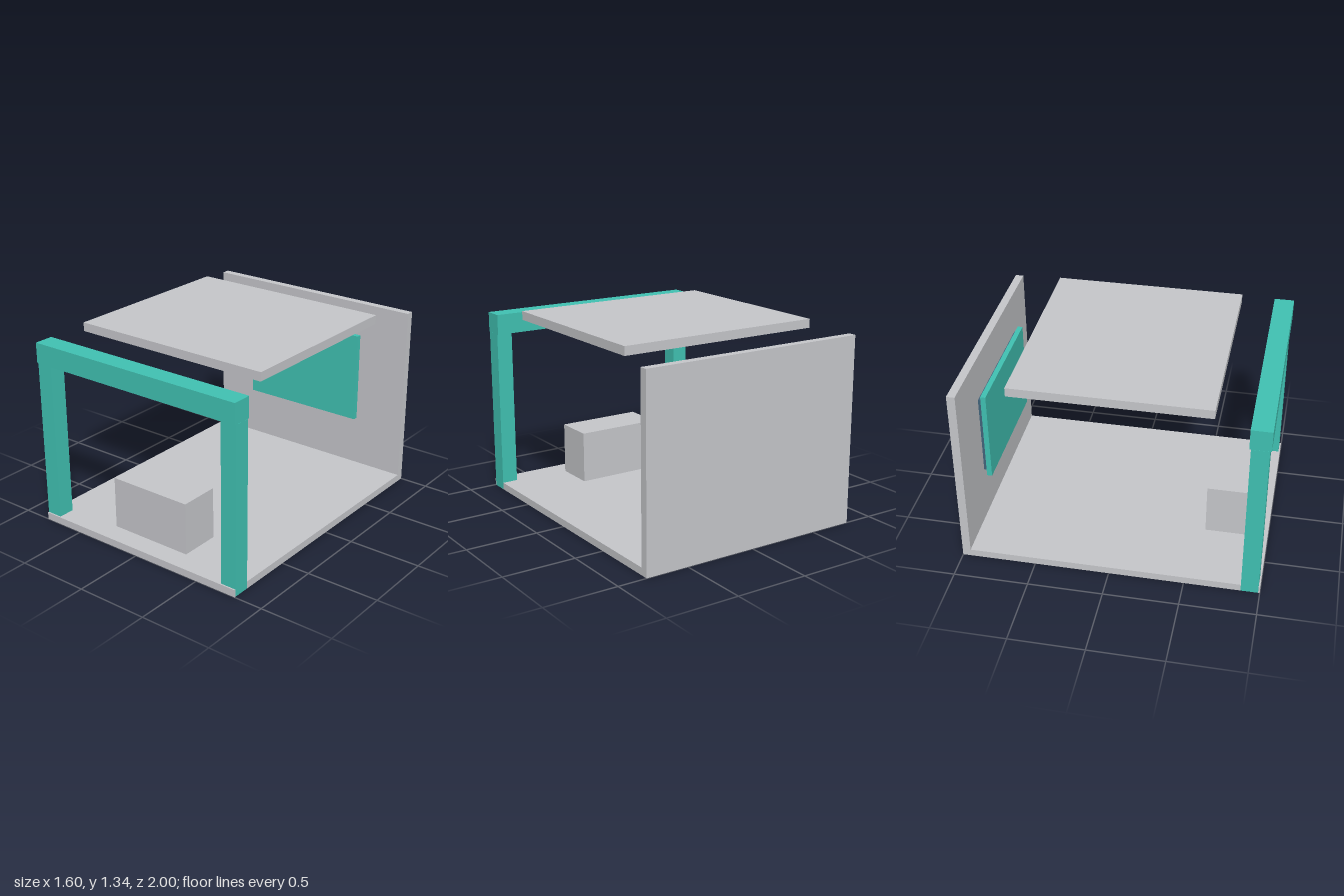
import * as THREE from 'three';

export function createModel() {
  const model = new THREE.Group();
  model.name = 'booth';

  const material = (name, color) => {
    const m = new THREE.MeshStandardMaterial({ color });
    m.name = name;
    return m;
  };
  const grey = material('light grey', 0xc5c6ca);
  const teal = material('teal', 0x40c1b2);
  const slate = material('slate blue', 0x41637a);

  // Box given by its extents on each axis
  const block = (name, mat, [x0, x1], [y0, y1], [z0, z1]) => {
    const mesh = new THREE.Mesh(new THREE.BoxGeometry(x1 - x0, y1 - y0, z1 - z0), mat);
    mesh.position.set((x0 + x1) / 2, (y0 + y1) / 2, (z0 + z1) / 2);
    mesh.name = name;
    model.add(mesh);
  };

  // Shell: floor, back wall and floating ceiling panel
  block('floor', grey, [-0.8, 0.8], [0, 0.05], [-1, 1]);
  block('backWall', grey, [-0.8, 0.8], [0.05, 1.28], [-1, -0.945]);
  block('ceilingPanel', grey, [-0.72, 0.72], [1.275, 1.335], [-0.65, 0.645]);

  // Entrance frame: two posts, set a hair proud of the floor edge, and a header
  block('rightPost', teal, [-0.801, -0.69], [0.001, 1.14], [0.875, 0.99]);
  block('leftPost', teal, [0.69, 0.801], [0.001, 1.14], [0.875, 0.99]);
  block('headerBeam', teal, [-0.8, 0.8], [1.14, 1.28], [0.865, 1]);

  // Counter behind the entrance
  block('counter', grey, [-0.3, 0.3], [0.05, 0.41], [0.575, 0.855]);

  // Display board with its backing plate, in front of the back wall
  block('displayBoard', teal, [-0.455, 0.455], [0.425, 1.06], [-0.905, -0.87]);
  block('displayBacking', slate, [-0.44, 0.44], [0.46, 1.025], [-0.927, -0.905]);

  return model;
}
